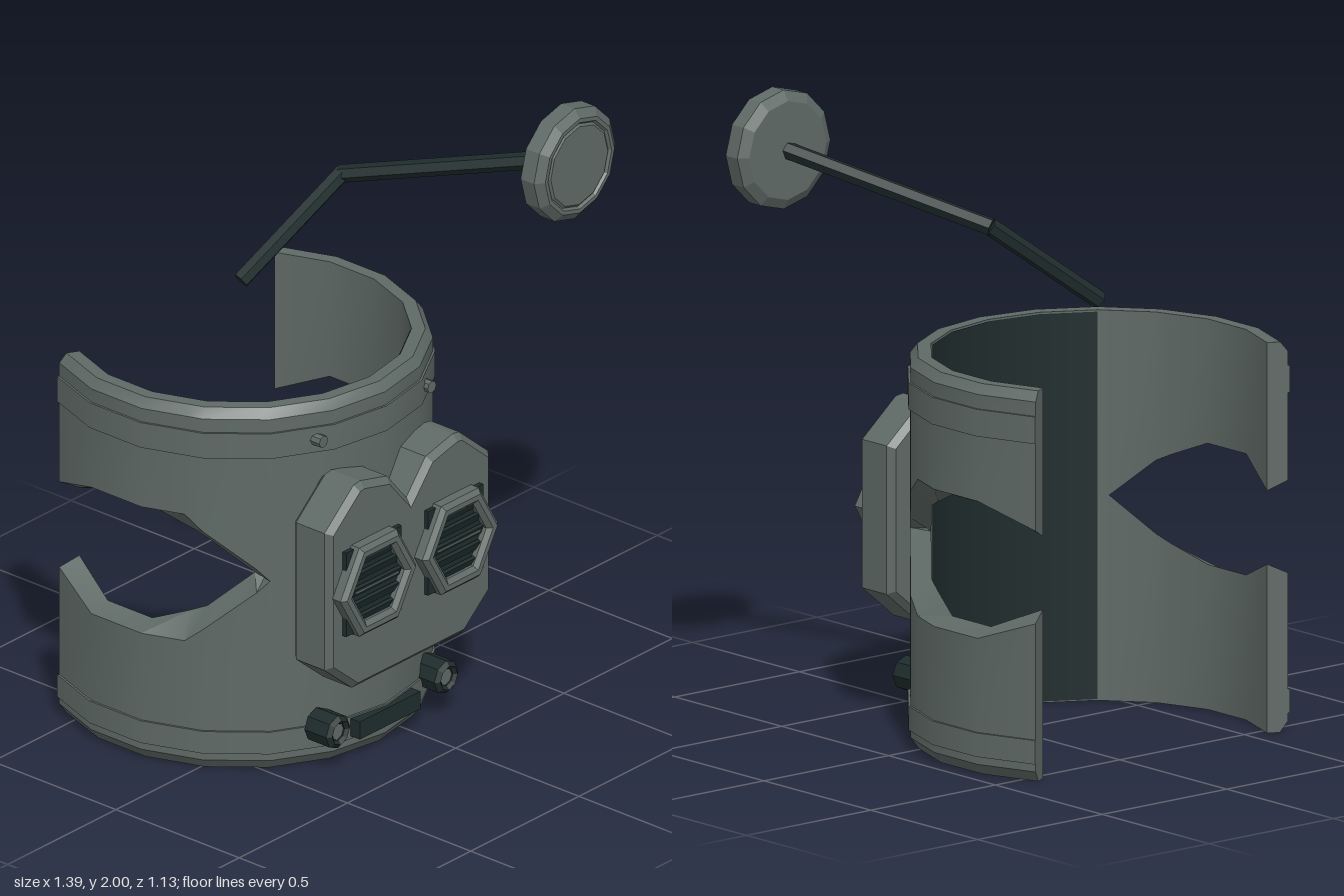
import * as THREE from 'three';
import { toCreasedNormals } from 'three/addons/utils/BufferGeometryUtils.js';

const CX = -0.115, CZ = -0.27, MID = 0.645; // cuff axis and notch height
const R_OUT = 0.585, R_IN = 0.52, R_BAND = 0.592;

export function createModel() {
  const root = new THREE.Group();
  const armour = new THREE.MeshStandardMaterial({ color: 0x5f6a66 });
  armour.name = 'greyGreenArmour';
  const dark = new THREE.MeshStandardMaterial({ color: 0x1f2c2c, side: THREE.DoubleSide });
  dark.name = 'darkRubber';

  const add = (name, geo, mat, x = 0, y = 0, z = 0, parent = root) => {
    const m = new THREE.Mesh(geo, mat);
    m.name = name;
    m.position.set(x, y, z);
    parent.add(m);
    return m;
  };
  const flat = (geo) => toCreasedNormals(geo, 0.05);

  // Cuff: columns of [angle, outer notch half-height, inner notch half-height]
  const half = [[20, 0, 0], [40, 0, 0], [44, 0.04, 0], [60, 0.165, 0.115], [66, 0.215, 0.14],
    [80, 0.215, 0.19], [100, 0.215, 0.19], [120, 0.145, 0.115]];
  const columns = [...half.map(([a, o, i]) => [-a, o, i]).reverse(), [0, 0, 0], ...half];

  const upperRing = (o, i) => [[R_OUT, MID + o], [R_OUT, 1.065], [R_BAND, 1.065], [R_BAND, 1.15],
    [R_OUT, 1.15], [R_OUT, 1.195], [0.562, 1.225], [R_IN, 1.225], [R_IN, MID + i]];
  const lowerRing = (o, i) => [[0.56, 0], [R_OUT, 0.035], [R_OUT, 0.06], [R_BAND, 0.06], [R_BAND, 0.135],
    [R_OUT, 0.135], [R_OUT, MID - o], [R_IN, MID - i], [R_IN, 0]];

  function cuffHalf(ringAt) {
    const pos = [], idx = [];
    const rings = columns.map(([, o, i]) => ringAt(o, i));
    const n = rings[0].length;
    columns.forEach(([deg], c) => {
      const a = THREE.MathUtils.degToRad(deg);
      // keep every column on the 20 degree facets
      const k = Math.cos(Math.PI / 18) / Math.cos(THREE.MathUtils.degToRad((Math.abs(deg) % 20) - 10));
      for (const [r, y] of rings[c]) pos.push(CX + r * k * Math.sin(a), y, CZ + r * k * Math.cos(a));
    });
    for (let c = 0; c < columns.length - 1; c++) {
      for (let j = 0; j < n; j++) {
        const A = c * n + j, D = c * n + (j + 1) % n, B = A + n, C = D + n;
        idx.push(A, B, C, A, C, D);
      }
    }
    // end caps
    const last = (columns.length - 1) * n;
    const tris = THREE.ShapeUtils.triangulateShape(rings[0].map(([r, y]) => new THREE.Vector2(r, y)), []);
    for (const [a, b, c] of tris) idx.push(a, b, c, last + a, last + c, last + b);
    const g = new THREE.BufferGeometry();
    g.setAttribute('position', new THREE.Float32BufferAttribute(pos, 3));
    g.setIndex(idx);
    return toCreasedNormals(g, 0.45);
  }
  add('upperCuff', cuffHalf(upperRing), armour);
  add('lowerCuff', cuffHalf(lowerRing), armour);

  // Dark lining behind the front
  add('innerLining', new THREE.CylinderGeometry(0.516, 0.516, 1.215, 4, 1, true,
    -Math.PI * 2 / 9, Math.PI * 4 / 9), dark, CX, 0.6125, CZ);

  // Front plate with a V notch in the top edge
  const b = 0.02;
  const side = [[0.245, 0.33], [0.358, 0.425], [0.358, 0.872], [0.235, 0.977], [0.215, 0.98], [0.1, 0.952]];
  const outline = [...side, [0, 0.835], ...side.map(([x, y]) => [-x, y]).reverse()];
  const plate = new THREE.ExtrudeGeometry(new THREE.Shape(outline.map(([x, y]) => new THREE.Vector2(x, y))),
    { depth: 0.115, bevelEnabled: true, bevelThickness: b, bevelSize: b, bevelSegments: 1 });
  add('frontPlate', flat(plate), armour, CX, 0, 0.285);

  // Hexagonal vents
  const hexPoints = (r) => Array.from({ length: 6 }, (_, i) =>
    new THREE.Vector2(r * Math.cos(i * Math.PI / 3), r * Math.sin(i * Math.PI / 3)));
  const hexFrame = new THREE.Shape(hexPoints(0.158));
  hexFrame.holes.push(new THREE.Path(hexPoints(0.138).reverse()));
  const frameGeo = flat(new THREE.ExtrudeGeometry(hexFrame,
    { depth: 0.032, bevelEnabled: true, bevelThickness: 0.014, bevelSize: 0.014, bevelSegments: 1 }));

  for (const s of [-1, 1]) {
    const vent = new THREE.Group();
    vent.name = s > 0 ? 'leftVent' : 'rightVent';
    vent.position.set(CX + s * 0.189, 0.66, 0.42);
    root.add(vent);
    add('ventFrame', frameGeo, armour, 0, 0, 0, vent);
    add('ventBacking', new THREE.BoxGeometry(0.255, 0.285, 0.03), dark, 0, 0, 0, vent);
    for (let i = -2; i <= 2; i++) {
      const slat = add('ventSlat', new THREE.BoxGeometry(0.22 - Math.abs(i) * 0.025, 0.03, 0.012),
        dark, 0, i * 0.048, 0.02, vent);
      slat.rotation.x = 0.35;
    }
    add('ventBar', new THREE.BoxGeometry(0.2, 0.007, 0.008), armour, 0, 0, 0.026, vent);

    // Small stud on the upper band
    const stud = add('stud', flat(new THREE.CylinderGeometry(0.02, 0.02, 0.06, 8)),
      armour, CX + s * 0.25, 1.108, 0.255);
    stud.rotation.x = Math.PI / 2;

    // Ring bolt on the lower band
    const ringProfile = [[0.028, -0.06], [0.028, 0.03], [0.04, 0.04], [0.055, 0.028], [0.055, -0.06]];
    const bolt = add('boltRing', flat(new THREE.LatheGeometry(
      ringProfile.map(([r, y]) => new THREE.Vector2(r, y)), 8)), dark, CX + s * 0.25, 0.14, 0.315);
    bolt.rotation.x = Math.PI / 2;
    const core = add('boltCore', flat(new THREE.CylinderGeometry(0.029, 0.029, 0.08, 8)),
      armour, CX + s * 0.25, 0.14, 0.3);
    core.rotation.x = Math.PI / 2;
  }

  // Dark slot between the bolts
  add('lowerSlot', new THREE.BoxGeometry(0.28, 0.06, 0.07), dark, CX, 0.1, 0.3);

  // Bent rod carrying the disc
  const rod = [[-0.11, 1.385, -0.27], [0.235, 1.648, -0.17], [0.5, 1.812, 0.475]]
    .map((p) => new THREE.Vector3(...p));
  for (let i = 0; i < 2; i++) {
    const dir = rod[i + 1].clone().sub(rod[i]);
    const geo = flat(new THREE.CylinderGeometry(0.028, 0.028, dir.length() + 0.012, 6));
    const c = rod[i].clone().add(rod[i + 1]).multiplyScalar(0.5);
    const m = add(i ? 'upperRod' : 'lowerRod', geo, dark, c.x, c.y, c.z);
    m.quaternion.setFromUnitVectors(new THREE.Vector3(0, 1, 0), dir.normalize());
  }

  // Disc with a shallow recessed face
  const discProfile = [[0, -0.047], [0.155, -0.047], [0.187, -0.028], [0.187, 0.026], [0.16, 0.048],
    [0.147, 0.048], [0.14, 0.04], [0.132, 0.046], [0, 0.046]];
  const disc = add('disc', flat(new THREE.LatheGeometry(
    discProfile.map(([r, y]) => new THREE.Vector2(r, y)), 12)), armour, 0.505, 1.813, 0.512);
  disc.rotation.x = Math.PI / 2;

  return root;
}
